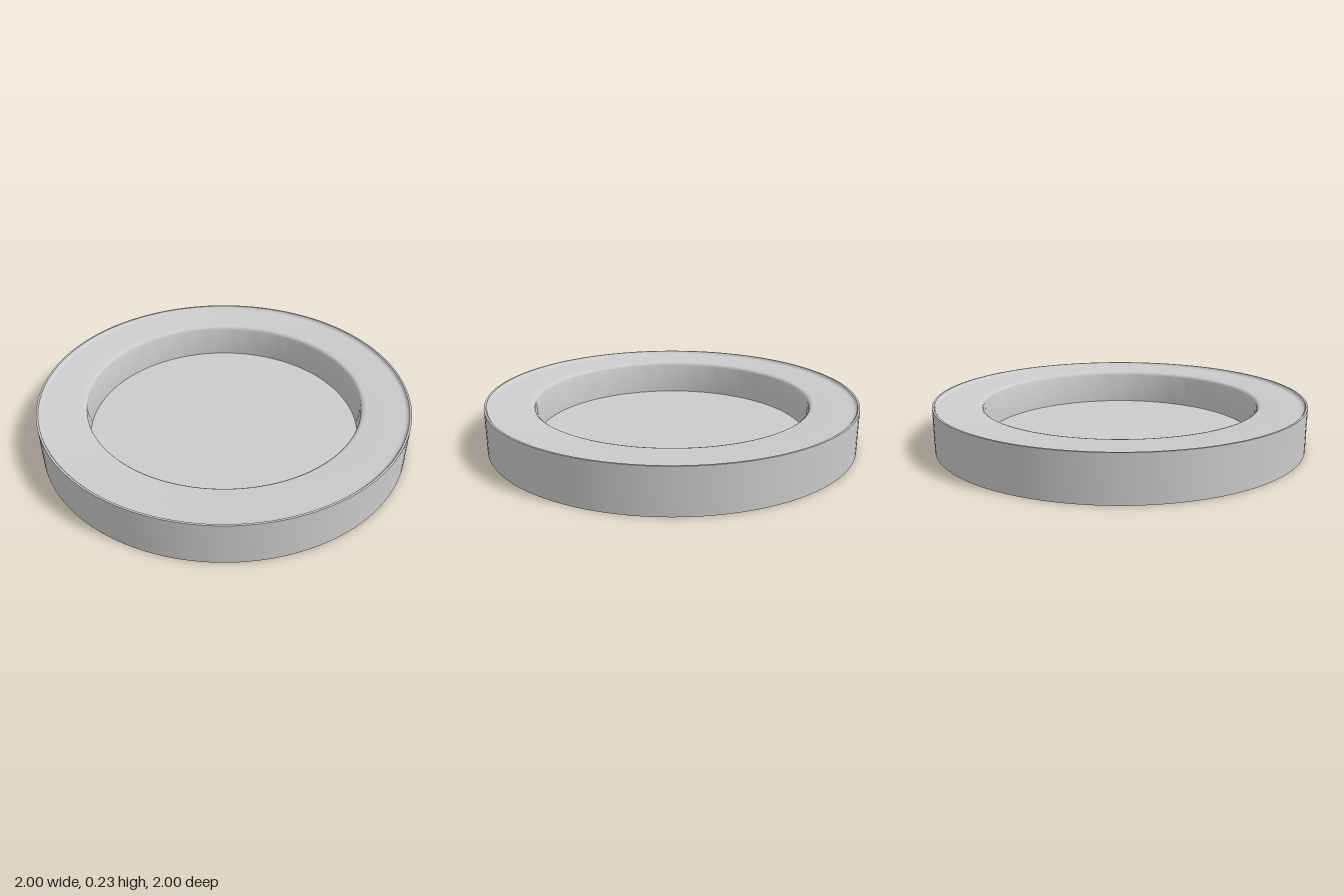
import * as THREE from 'three';
import { toCreasedNormals } from 'three/addons/utils/BufferGeometryUtils.js';

export function createModel() {
  const group = new THREE.Group();
  group.name = 'roundDish';
  const material = new THREE.MeshStandardMaterial({ color: 0xcccccc });

  // Cross-section as [radius, height], from the base centre round to the floor centre
  const profile = [
    [0, 0], [1, 0], [1, 0.233],                       // base and outer wall
    [0.99, 0.233], [0.985, 0.224], [0.978, 0.219], [0.965, 0.217], // raised outer lip
    [0.765, 0.217], [0.752, 0.214], [0.742, 0.206],   // flat rim, eased inner edge
    [0.74, 0.2], [0.74, 0.023], [0, 0.023],           // recess wall and floor
  ].map(([r, y]) => new THREE.Vector2(r, y));

  const dish = new THREE.Mesh(
    toCreasedNormals(new THREE.LatheGeometry(profile, 128), 0.6),
    material
  );
  dish.name = 'dish';
  group.add(dish);
  return group;
}
